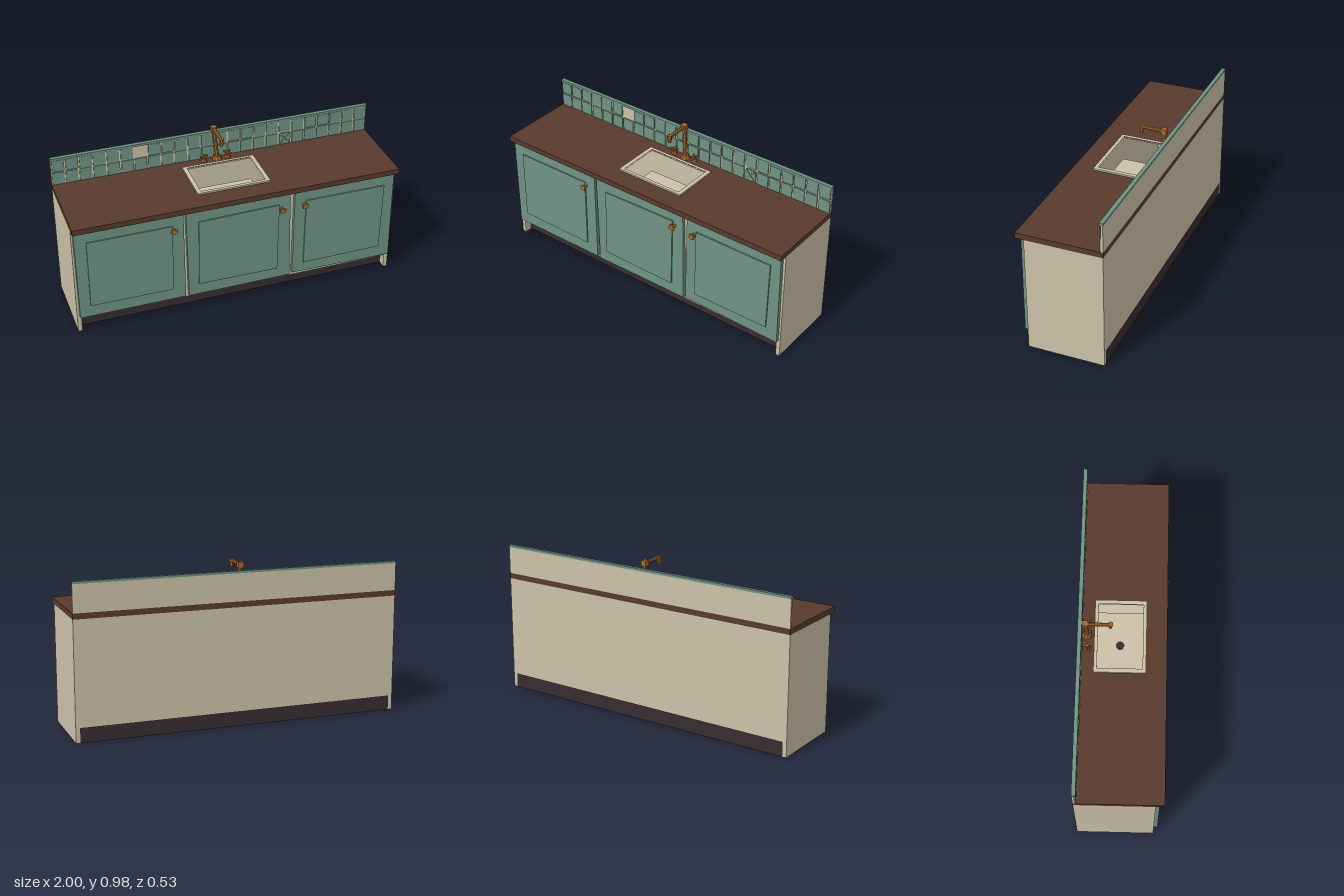
import * as THREE from 'three';

const mat = (name, color) => {
  const m = new THREE.MeshStandardMaterial({ color });
  m.name = name;
  return m;
};

export function createModel() {
  const green = mat('sage green', 0x6f9383);
  const cream = mat('cream', 0xccc2a9);
  const brown = mat('dark wood', 0x583a2d);
  const dark = mat('charcoal', 0x362d30);
  const copper = mat('copper', 0xa9692f);

  const root = new THREE.Group();
  root.name = 'kitchenSinkUnit';
  const group = (name, parent = root) => {
    const g = new THREE.Group();
    g.name = name;
    parent.add(g);
    return g;
  };
  const add = (name, geo, material, parent = root) => {
    const m = new THREE.Mesh(geo, material);
    m.name = name;
    parent.add(m);
    return m;
  };
  // box given by its limits on each axis
  const box = (name, material, [x0, x1], [y0, y1], [z0, z1], parent = root) => {
    const g = new THREE.BoxGeometry(x1 - x0, y1 - y0, z1 - z0);
    g.translate((x0 + x1) / 2, (y0 + y1) / 2, (z0 + z1) / 2);
    return add(name, g, material, parent);
  };
  // flat polygon in the front plane, extruded from z0 to z1
  const slab = (name, material, pts, z0, z1, parent = root) => {
    const s = new THREE.Shape(pts.map(p => new THREE.Vector2(...p)));
    const g = new THREE.ExtrudeGeometry(s, { depth: z1 - z0, bevelEnabled: false });
    return add(name, g.translate(0, 0, z0), material, parent);
  };
  // horizontal plate with a rectangular hole; rectangles are [x0, x1, z0, z1]
  const rect = (path, [x0, x1, z0, z1]) =>
    path.moveTo(x0, -z0).lineTo(x1, -z0).lineTo(x1, -z1).lineTo(x0, -z1).closePath();
  const frame = (name, material, outer, hole, y0, y1, parent = root) => {
    const s = rect(new THREE.Shape(), outer);
    s.holes.push(rect(new THREE.Path(), hole));
    const g = new THREE.ExtrudeGeometry(s, { depth: y1 - y0, bevelEnabled: false });
    return add(name, g.rotateX(-Math.PI / 2).translate(0, y0, 0), material, parent);
  };
  // faceted cylinder between two points
  const rod = (name, a, b, ra, rb, sides, parent) => {
    const A = new THREE.Vector3(...a), B = new THREE.Vector3(...b);
    const d = B.clone().sub(A);
    const g = new THREE.CylinderGeometry(rb, ra, d.length(), sides).toNonIndexed();
    g.computeVertexNormals();
    const m = add(name, g, copper, parent);
    m.position.copy(A).add(B).multiplyScalar(0.5);
    m.quaternion.setFromUnitVectors(new THREE.Vector3(0, 1, 0), d.normalize());
    return m;
  };

  // cabinet carcass
  const cabinet = group('cabinet');
  for (const s of [-1, 1])
    box('sidePanel', cream, s < 0 ? [-1, -0.975] : [0.975, 1], [0, 0.718], [-0.26, 0.205], cabinet);
  box('frontFrame', cream, [-0.975, 0.975], [0.09, 0.718], [0.185, 0.205], cabinet);
  box('backPanel', cream, [-0.975, 0.975], [0.09, 0.718], [-0.26, -0.24], cabinet);
  box('kickBase', dark, [-0.975, 0.975], [0, 0.09], [-0.26, 0.155], cabinet);
  box('cabinetFloor', cream, [-0.975, 0.975], [0.091, 0.105], [-0.24, 0.185], cabinet);

  // slightly crooked doors, each with a raised panel and a knob
  const doors = [
    { name: 'rightDoor', knob: -0.408,
      slab: [[-0.985, 0.112], [-0.338, 0.112], [-0.343, 0.714], [-0.99, 0.712]],
      panel: [[-0.92, 0.192], [-0.413, 0.188], [-0.413, 0.638], [-0.92, 0.638]] },
    { name: 'middleDoor', knob: 0.26,
      slab: [[-0.317, 0.11], [0.326, 0.113], [0.316, 0.717], [-0.328, 0.703]],
      panel: [[-0.257, 0.188], [0.241, 0.184], [0.246, 0.643], [-0.252, 0.633]] },
    { name: 'leftDoor', knob: 0.402,
      slab: [[0.342, 0.122], [0.989, 0.112], [0.984, 0.712], [0.346, 0.712]],
      panel: [[0.412, 0.187], [0.914, 0.193], [0.922, 0.638], [0.416, 0.638]] },
  ];
  for (const d of doors) {
    const g = group(d.name);
    slab('doorSlab', green, d.slab, 0.205, 0.228, g);
    slab('raisedPanel', green, d.panel, 0.228, 0.236, g);
    const k = group('knob', g);
    rod('knobStem', [d.knob, 0.615, 0.227], [d.knob, 0.615, 0.247], 0.01, 0.01, 8, k);
    rod('knobHead', [d.knob, 0.615, 0.245], [d.knob, 0.615, 0.258], 0.014, 0.021, 8, k);
    rod('knobFace', [d.knob, 0.615, 0.258], [d.knob, 0.615, 0.264], 0.021, 0.018, 8, k);
  }

  // worktop and sink
  frame('worktop', brown, [-1, 1, -0.26, 0.256], [-0.21, 0.21, -0.16, 0.125], 0.718, 0.752);
  const sink = group('sink');
  const inner = [-0.2, 0.2, -0.15, 0.115];
  frame('sinkRim', cream, [-0.225, 0.225, -0.17, 0.135], inner, 0.75, 0.762, sink);
  frame('basinWalls', cream, [-0.209, 0.209, -0.159, 0.124], inner, 0.6, 0.752, sink);
  box('basinFloor', cream, [-0.209, 0.209], [0.59, 0.6], [-0.159, 0.124], sink);
  const drain = add('drain', new THREE.CylinderGeometry(0.025, 0.025, 0.006, 10), dark, sink);
  drain.position.set(0, 0.602, -0.02);

  // tiled splashback with one missing and one cracked tile
  const splash = group('splashback');
  box('backBoard', cream, [-1, 1], [0.752, 0.918], [-0.26, -0.247], splash);
  box('topTrim', green, [-1, 1], [0.918, 0.932], [-0.262, -0.238], splash);
  const columns = 24, w = 2 / columns, gap = 0.005;
  for (let i = 0; i < columns; i++) {
    for (let row = 0; row < 2; row++) {
      if (i === 6 && row === 1) continue;
      const wob = 0.002 * Math.sin(i * 5.3 + row * 2.1);
      const x0 = -1 + i * w + gap + wob, x1 = -1 + (i + 1) * w - gap + wob;
      const y0 = row ? 0.842 : 0.754, y1 = row ? 0.916 : 0.833;
      const z1 = -0.24 + wob * 0.6;
      if (i === 17 && row === 0) {
        // shards around an off-centre break
        const c = [x0 + 0.033, y0 + 0.043];
        const ring = [[x0, y0], [x0 + 0.045, y0], [x1, y0], [x1, y0 + 0.05],
          [x1, y1], [x0 + 0.028, y1], [x0, y1], [x0, y0 + 0.03]];
        for (let k = 0; k < 8; k += 2) {
          const t = [c, ring[k], ring[k + 1], ring[(k + 2) % 8]];
          const mx = (t[1][0] + t[3][0] + c[0]) / 3, my = (t[1][1] + t[3][1] + c[1]) / 3;
          slab('tileShard', green,
            t.map(p => [mx + (p[0] - mx) * 0.88, my + (p[1] - my) * 0.88]), -0.247, z1, splash);
        }
      } else box('tile', green, [x0, x1], [y0, y1], [-0.247, z1], splash);
    }
  }

  // leaning tap with a long square-jointed spout
  const tap = group('tap');
  const z = -0.21;
  rod('tapBase', [0.008, 0.752, z], [0.007, 0.78, z], 0.03, 0.021, 8, tap);
  rod('tapColumn', [0.008, 0.77, z], [-0.009, 0.955, z - 0.007], 0.014, 0.012, 8, tap);
  box('tapElbow', copper, [-0.025, 0.007], [0.943, 0.977], [-0.234, -0.201], tap);
  rod('spoutArm', [-0.009, 0.961, -0.21], [-0.009, 0.964, -0.072], 0.011, 0.011, 8, tap);
  rod('spoutNozzle', [-0.009, 0.973, -0.073], [-0.009, 0.925, -0.075], 0.016, 0.011, 8, tap);

  // cross handles, one turned
  for (const s of [-1, 1]) {
    const h = group(s < 0 ? 'rightHandle' : 'leftHandle', tap);
    h.position.set(s * 0.075, 0.752, z);
    h.rotation.y = s > 0 ? Math.PI / 4 : 0.08;
    rod('handleBase', [0, 0, 0], [0, 0.02, 0], 0.019, 0.012, 8, h);
    rod('handleStem', [0, 0.02, 0], [0, 0.043, 0], 0.008, 0.008, 8, h);
    box('handleBar', copper, [-0.025, 0.025], [0.031, 0.039], [-0.004, 0.004], h);
    box('handleBar', copper, [-0.004, 0.004], [0.031, 0.039], [-0.025, 0.025], h);
  }
  return root;
}
